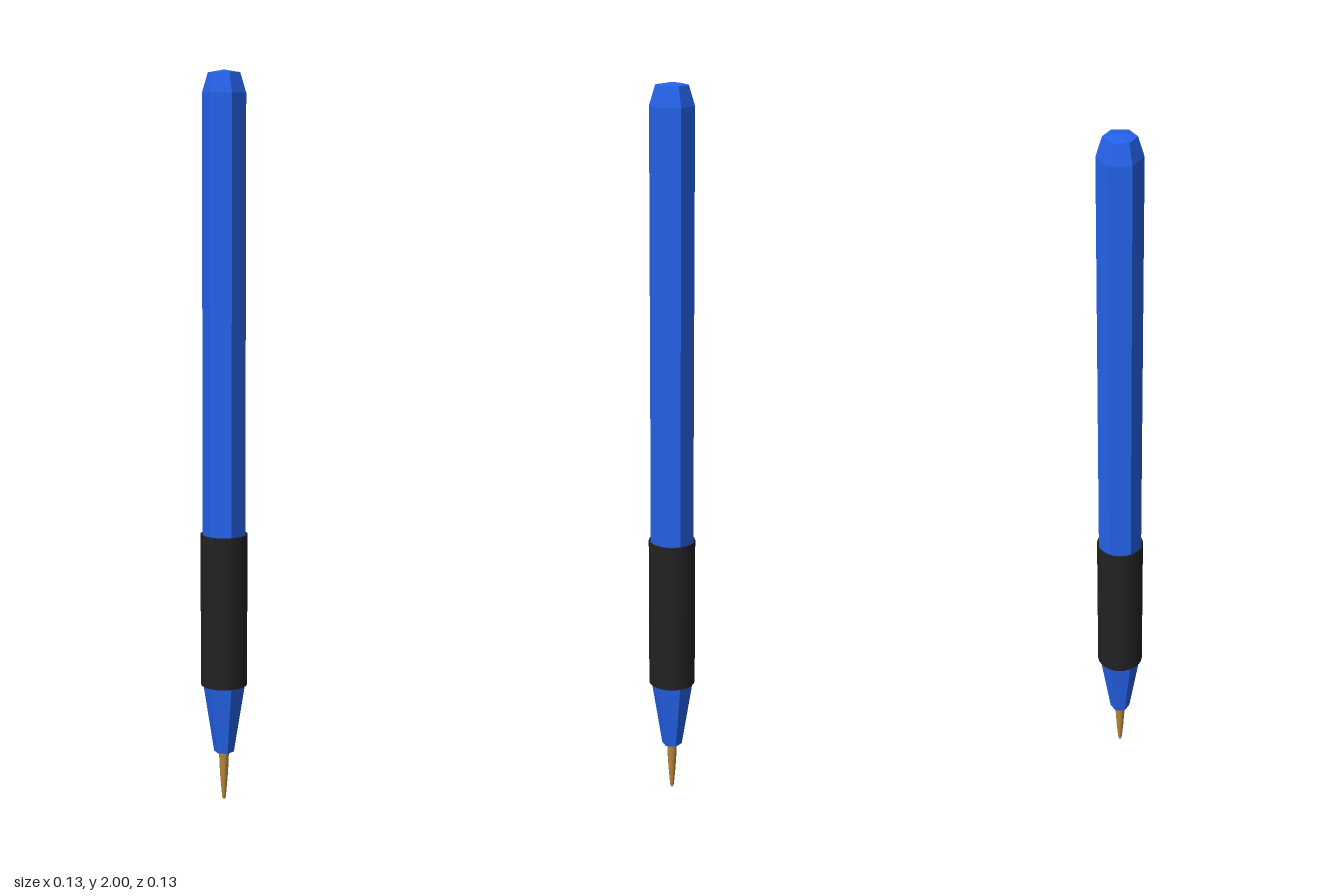
import * as THREE from 'three';

// Revolves an [r, y] profile; profiles run bottom to top on the outside
function turned(name, profile, sides, color, flatShading) {
  const points = profile.map(([r, y]) => new THREE.Vector2(r, y));
  // Starting at 30 degrees puts hexagon corners on +x and -x
  const geometry = new THREE.LatheGeometry(points, sides, Math.PI / 6);
  const material = new THREE.MeshStandardMaterial({ color, flatShading });
  const mesh = new THREE.Mesh(geometry, material);
  mesh.name = name;
  return mesh;
}

export function createModel() {
  const pen = new THREE.Group();
  pen.name = 'pen';

  // Hexagonal barrel: tapered nose, long shaft, chamfered and barely domed end
  pen.add(turned('barrel', [
    [0, 0.14], [0.028, 0.14], [0.059, 0.335], [0.059, 1.94], [0.043, 1.993], [0, 2],
  ], 6, 0x2563eb, true));

  // Round grip sleeve: a thin tube, open around the barrel
  pen.add(turned('grip', [
    [0.06, 0.335], [0.064, 0.335], [0.064, 0.76], [0.06, 0.76], [0.06, 0.335],
  ], 48, 0x222224, true));

  // Metal writing tip with a rounded point
  pen.add(turned('tip', [
    [0, 0], [0.003, 0.001], [0.005, 0.006], [0.0065, 0.02], [0.01, 0.06], [0.013, 0.11], [0.014, 0.15],
  ], 24, 0xb8873a, false));

  return pen;
}
